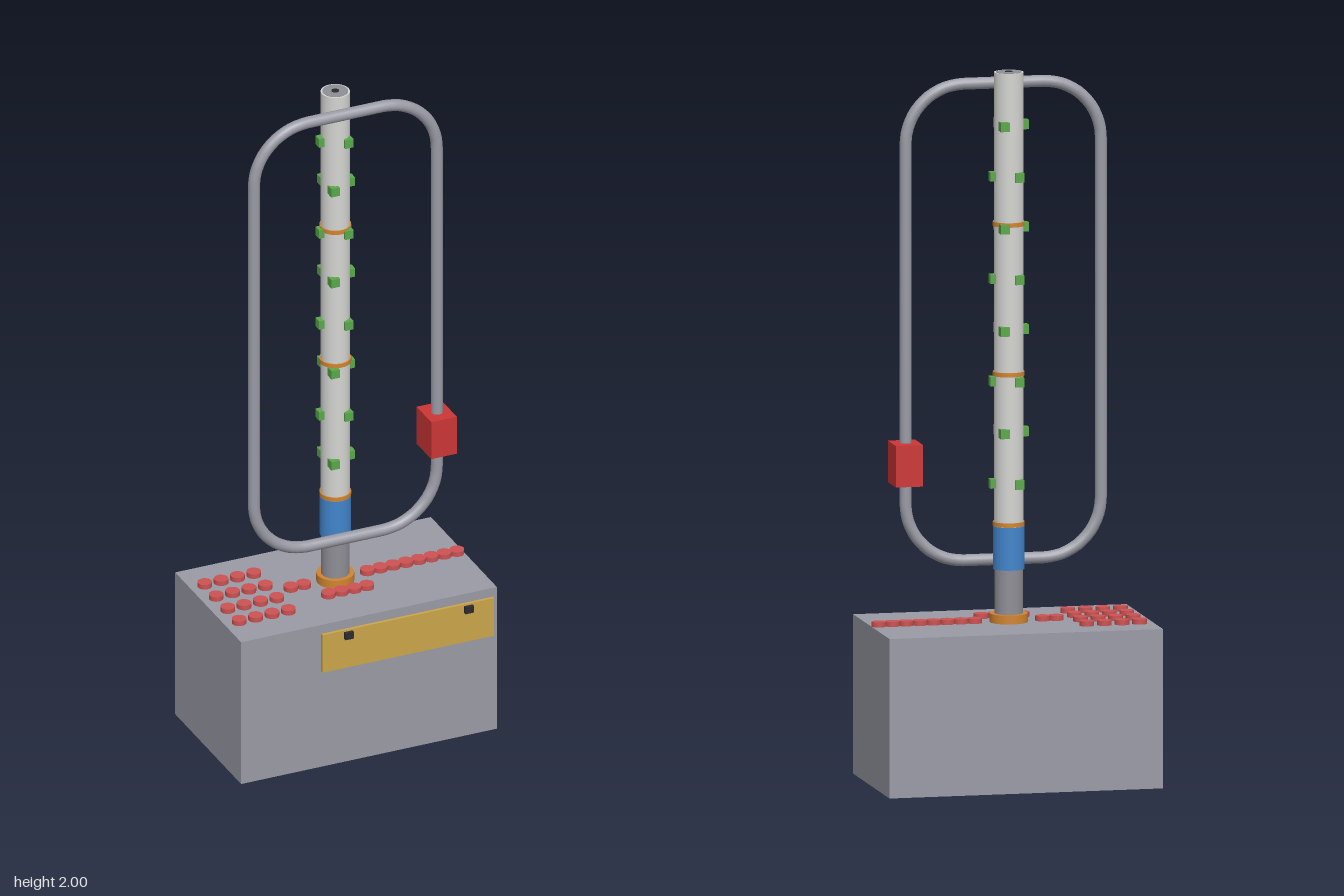
import * as THREE from 'three';

const paint = (name, color) => {
  const m = new THREE.MeshStandardMaterial({ color });
  m.name = name;
  return m;
};

export function createModel() {
  const bodyGrey = paint('body grey', 0x9a9aa5);
  const pipeGrey = paint('pipe grey', 0x8e8e96);
  const white = paint('column white', 0xd4d4d1);
  const blue = paint('collar blue', 0x4185cc);
  const orange = paint('ring orange', 0xd08530);
  const green = paint('block green', 0x5aa84a);
  const red = paint('box red', 0xcc3535);
  const buttonRed = paint('button red', 0xcc5252);
  const yellow = paint('panel yellow', 0xcaa548);
  const black = paint('black', 0x2c2c2e);

  const model = new THREE.Group();
  model.name = 'model';
  const add = (name, geometry, material, x, y, z) => {
    const mesh = new THREE.Mesh(geometry, material);
    mesh.name = name;
    mesh.position.set(x, y, z);
    model.add(mesh);
    return mesh;
  };
  // Box given by its lower and upper corners
  const box = (name, material, a, b) => add(name,
    new THREE.BoxGeometry(b[0] - a[0], b[1] - a[1], b[2] - a[2]), material,
    (a[0] + b[0]) / 2, (a[1] + b[1]) / 2, (a[2] + b[2]) / 2);
  // Upright cylinder between two heights
  const cylinder = (name, material, r, y0, y1, x, z, sides = 32) => add(name,
    new THREE.CylinderGeometry(r, r, y1 - y0, sides), material, x, (y0 + y1) / 2, z);

  // Cabinet
  box('cabinet', bodyGrey, [-0.39, 0.001, -0.235], [0.39, 0.45, 0.21]);

  // Front panel with two knobs
  box('frontPanel', yellow, [-0.147, 0.304, 0.212], [0.377, 0.423, 0.221]);
  for (const x of [-0.068, 0.298]) {
    box('panelKnob', black, [x - 0.013, 0.397, 0.221], [x + 0.013, 0.418, 0.231]);
  }

  // Column stack
  const cx = -0.002, cz = -0.013;
  cylinder('columnFlange', orange, 0.053, 0.45, 0.475, cx, cz);
  cylinder('lowerPipe', pipeGrey, 0.04, 0.475, 0.6, cx, cz);
  cylinder('blueCollar', blue, 0.044, 0.6, 0.72, cx, cz);
  cylinder('column', white, 0.041, 0.72, 1.998, cx, cz);
  cylinder('columnTop', pipeGrey, 0.036, 1.98, 1.999, cx, cz);
  cylinder('centreRod', black, 0.011, 0, 2, cx, cz, 12);
  for (const y of [0.727, 1.15, 1.572]) {
    cylinder('jointRing', orange, 0.0445, y - 0.006, y + 0.006, cx, cz);
  }

  // Green blocks, three to a level, turned by 60 degrees on alternate levels
  const block = new THREE.BoxGeometry(0.026, 0.026, 0.026);
  for (let level = 0; level < 8; level++) {
    for (let k = 0; k < 3; k++) {
      const a = (level % 2) * Math.PI + k * Math.PI * 2 / 3;
      add('columnBlock', block, green,
        cx + 0.042 * Math.cos(a), 0.841 + level * 0.1441, cz + 0.042 * Math.sin(a));
    }
  }

  // Rounded loop of tube in front of the column
  const w = 0.279, bottom = 0.616, top = 1.958, r = 0.165;
  const points = [];
  const corners = [[w - r, bottom + r, -90], [w - r, top - r, 0],
    [r - w, top - r, 90], [r - w, bottom + r, 180]];
  const path = new THREE.CurvePath();
  for (const [x, y, start] of corners) {
    for (let i = 0; i <= 10; i++) {
      const a = THREE.MathUtils.degToRad(start + i * 9);
      points.push(new THREE.Vector3(x + r * Math.cos(a), y + r * Math.sin(a), 0));
    }
  }
  points.forEach((p, i) => path.add(new THREE.LineCurve3(p, points[(i + 1) % points.length])));
  add('tubeLoop', new THREE.TubeGeometry(path, 200, 0.0168, 16, true), bodyGrey, -0.002, 0, 0.055);

  // Box riding on the loop
  box('loopBox', red, [0.238, 0.836, 0.005], [0.316, 0.953, 0.104]);

  // Buttons on the cabinet top
  const button = (x, z) => cylinder('button', buttonRed, 0.0205, 0.45, 0.464, x, z, 20);
  for (let i = 0; i < 4; i++) {
    for (let j = 0; j < 4; j++) button(-0.348 + i * 0.05, -0.129 + j * 0.0777);
    button(-0.058 + i * 0.039, 0.065);
  }
  for (let i = 0; i < 2; i++) button(-0.1375 + i * 0.039, cz);
  for (let i = 0; i < 8; i++) button(0.096 + i * 0.039, cz);

  return model;
}
